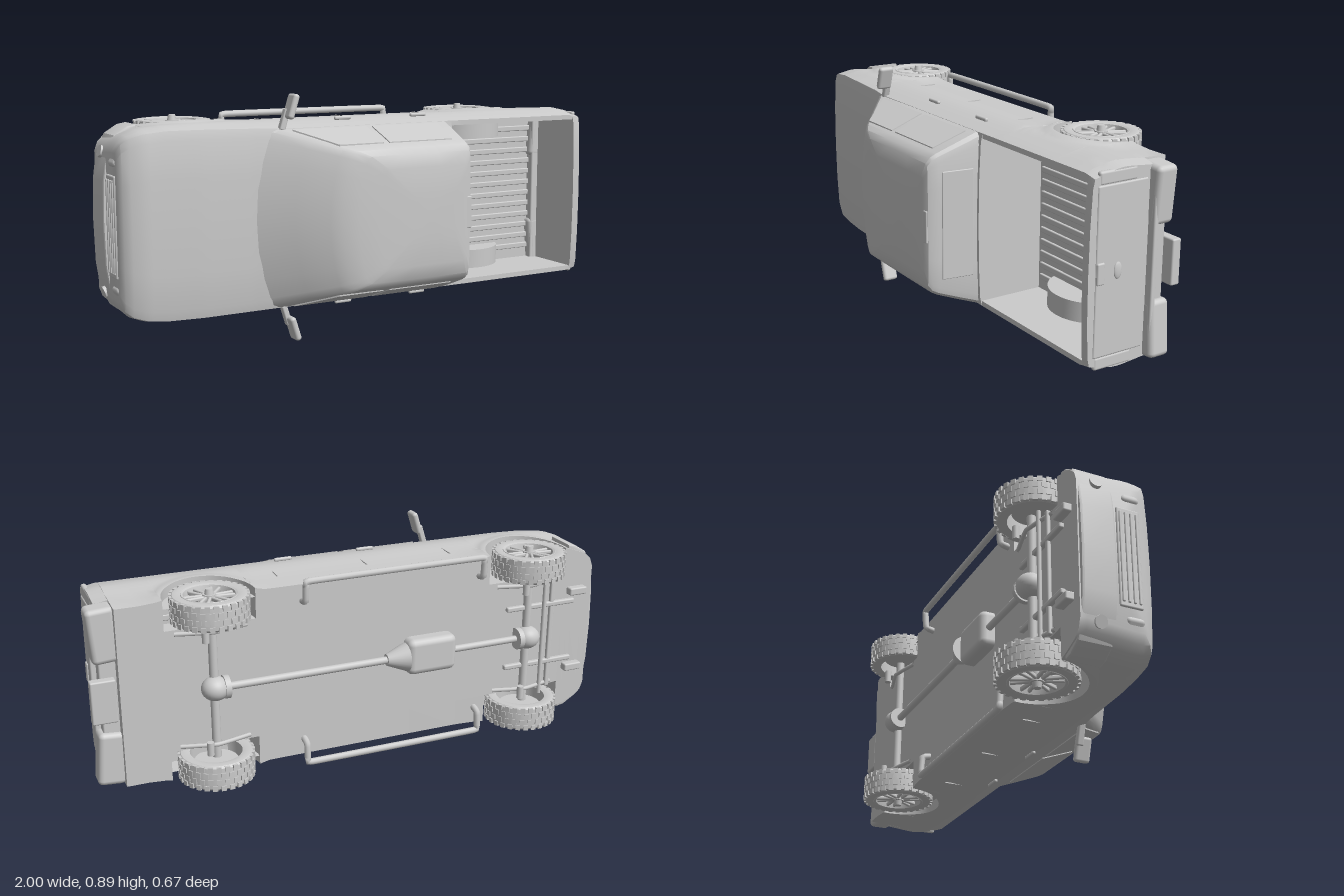
import * as THREE from 'three';
import { toCreasedNormals } from 'three/addons/utils/BufferGeometryUtils.js';
import { RoundedBoxGeometry } from 'three/addons/geometries/RoundedBoxGeometry.js';

const mat = new THREE.MeshStandardMaterial({ color: 0xcccccc, side: THREE.DoubleSide });
const WHEEL_X = [-0.69, 0.57], WHEEL_Y = -0.2, ARCH = 0.165, BED_FLOOR = -0.13;

function add(parent, name, geo, x = 0, y = 0, z = 0) {
  const m = new THREE.Mesh(geo, mat);
  m.name = name;
  m.position.set(x, y, z);
  parent.add(m);
  return m;
}
const box = (w, h, d, r = 0.006) => new RoundedBoxGeometry(w, h, d, 2, Math.min(r, w / 2.1, h / 2.1, d / 2.1));
const cylZ = (r, len, n = 20, r2 = r) => new THREE.CylinderGeometry(r, r2, len, n).rotateX(Math.PI / 2);
const cylX = (r, len, n = 16, r2 = r) => new THREE.CylinderGeometry(r, r2, len, n).rotateZ(-Math.PI / 2);
const tube = (pts, r, n = 40) =>
  new THREE.TubeGeometry(new THREE.CatmullRomCurve3(pts.map(p => new THREE.Vector3(...p)), false, 'catmullrom', 0.15), n, r, 10);

// piecewise-linear lookup in [[key, value], ...]
function lerpTable(t, k) {
  if (k <= t[0][0]) return t[0][1];
  for (let i = 1; i < t.length; i++)
    if (k <= t[i][0]) return THREE.MathUtils.mapLinear(k, t[i - 1][0], t[i][0], t[i - 1][1], t[i][1]);
  return t[t.length - 1][1];
}

// skin closed rings of [x, y, z] and cap both ends
function loft(rings, crease = 0.6) {
  const n = rings[0].length, pos = rings.flat(2), idx = [];
  for (let i = 0; i < rings.length - 1; i++)
    for (let j = 0; j < n; j++) {
      const a = i * n + j, b = i * n + (j + 1) % n;
      idx.push(a, a + n, b, a + n, b + n, b);
    }
  [0, rings.length - 1].forEach((i, end) => {
    const c = pos.length / 3;
    for (let k = 0; k < 3; k++) pos.push(rings[i].reduce((s, p) => s + p[k], 0) / n);
    for (let j = 0; j < n; j++) {
      const a = i * n + j, b = i * n + (j + 1) % n;
      idx.push(c, end ? b : a, end ? a : b);
    }
  });
  const g = new THREE.BufferGeometry();
  g.setAttribute('position', new THREE.Float32BufferAttribute(pos, 3));
  g.setIndex(idx);
  return toCreasedNormals(g, crease);
}

// lower body: half width by height, narrowing and top line along the length
const SIDE = [[-0.2, 0.334], [-0.1, 0.339], [0, 0.349], [0.03, 0.347], [0.1, 0.331], [0.13, 0.322]];
const PLAN = [[-0.982, 0.74], [-0.97, 0.84], [-0.945, 0.91], [-0.9, 0.96], [-0.82, 0.99], [-0.7, 1], [0.9, 1], [0.95, 0.97]];
const TOP = [[-0.982, 0.025], [-0.97, 0.05], [-0.945, 0.066], [-0.9, 0.08], [-0.7, 0.1], [-0.5, 0.112], [-0.4, 0.125], [0.95, 0.125]];

function bodySection(x, bed) {
  const f = lerpTable(PLAN, x), t = lerpTable(TOP, x), base = x > 0.9 ? -0.11 : -0.2;
  let b = base;
  for (const cx of WHEEL_X)
    if (Math.abs(x - cx) < ARCH) b = WHEEL_Y + Math.sqrt(ARCH ** 2 - (x - cx) ** 2);
  const half = [[0, base], [0.23 * f, base], [0.23 * f, b]];
  for (let k = 0; k <= 10; k++) {
    const h = b + (t - b) * k / 10;
    const d = Math.min(...WHEEL_X.map(cx => Math.hypot(x - cx, h - WHEEL_Y)));
    half.push([lerpTable(SIDE, h) * f + 0.009 * THREE.MathUtils.smoothstep(0.205 - d, 0, 0.03), h]);
  }
  const w = half[half.length - 1][0];
  half.push(...(bed ? [[0.305, t], [0.305, BED_FLOOR], [0, BED_FLOOR]]
    : [[w * 0.9, t + 0.007], [w * 0.5, t + 0.013], [0, t + 0.015]]));
  const ring = half.map(([z, y]) => [x, y, z]);
  for (let i = half.length - 2; i > 0; i--) ring.push([x, half[i][1], -half[i][0]]);
  return ring;
}

function bodyGeometry() {
  const xs = [-0.982, -0.97, -0.945, -0.9, -0.88, -0.4, -0.2, 0, 0.2, 0.32, 0.37, 0.76, 0.82, 0.9, 0.901, 0.92, 0.95];
  for (const cx of WHEEL_X)
    for (let i = 0; i <= 24; i++) xs.push(cx - ARCH * 1.0001 * Math.cos(Math.PI * i / 24));
  xs.push(-0.5);
  const rings = [];
  for (const x of xs.sort((a, b) => a - b)) {
    const bed = x > 0.32 && x < 0.92;
    if (x === 0.92) rings.push(bodySection(x, true));
    rings.push(bodySection(x, bed));
    if (x === 0.32) rings.push(bodySection(x, true));
  }
  return loft(rings);
}

// cab: [height, front x, rear x, half width]
const CAB = [[0.1, -0.545, 0.313, 0.326], [0.13, -0.5, 0.31, 0.322], [0.21, -0.395, 0.3, 0.292], [0.285, -0.295, 0.288, 0.263],
  [0.307, -0.255, 0.283, 0.251], [0.322, -0.2, 0.275, 0.23], [0.331, -0.12, 0.255, 0.18], [0.335, 0, 0.2, 0.08]];
function cabGeometry() {
  const q = [[1, 0], [1, 0.5], [0.995, 0.88], [0.98, 0.96], [0.94, 1], [0.4, 1], [-0.2, 1], [-0.78, 0.995],
    [-0.83, 0.965], [-0.87, 0.88], [-0.93, 0.65], [-0.98, 0.35], [-1, 0]];
  const outline = [...q, ...q.slice(1, -1).reverse().map(([u, v]) => [u, -v])];
  return loft(CAB.map(([h, a, b, w]) => outline.map(([u, v]) => [(a + b) / 2 + u * (b - a) / 2, h, v * w])), 0.5);
}
const cabWidth = h => lerpTable(CAB.map(r => [r[0], r[3]]), h);

// window pane that follows the slope of the cab side
function paneGeometry(pts) {
  const g = new THREE.ExtrudeGeometry(new THREE.Shape(pts.map(p => new THREE.Vector2(...p))), { depth: 0.006, bevelEnabled: false });
  const p = g.attributes.position;
  for (let i = 0; i < p.count; i++) p.setZ(i, p.getZ(i) - 0.002 + cabWidth(p.getY(i)));
  g.computeVertexNormals();
  return g;
}

// bumper: bowed plan shape extruded upwards
function bumperGeometry(pts, height) {
  const s = new THREE.Shape([...pts, ...pts.slice().reverse().map(([x, z]) => [x, -z])].map(p => new THREE.Vector2(...p)));
  const g = new THREE.ExtrudeGeometry(s, { depth: height - 0.016, bevelThickness: 0.008, bevelSize: 0.006, bevelSegments: 3 });
  return toCreasedNormals(g.rotateX(-Math.PI / 2).translate(0, 0.008, 0), 0.5);
}

function makeWheel() {
  const g = new THREE.Group();
  const lathe = pts => toCreasedNormals(new THREE.LatheGeometry(pts.map(p => new THREE.Vector2(...p)), 48), 0.6).rotateX(Math.PI / 2);
  add(g, 'tyre', lathe([[0.095, -0.046], [0.112, -0.05], [0.128, -0.048], [0.135, -0.04], [0.137, 0], [0.135, 0.04],
    [0.128, 0.048], [0.112, 0.05], [0.095, 0.046], [0.095, -0.046]]));
  add(g, 'rim', lathe([[0, -0.01], [0.08, -0.01], [0.086, 0.03], [0.09, 0.046], [0.098, 0.049], [0.101, 0.044]]));
  add(g, 'hub', cylZ(0.024, 0.04), 0, 0, 0.025);
  add(g, 'hubCap', cylZ(0.013, 0.02, 16, 0.017), 0, 0, 0.054);
  for (let i = 0; i < 6; i++) {
    const spoke = new THREE.Group();
    spoke.name = 'spoke';
    spoke.rotation.z = i * Math.PI / 3;
    for (const s of [-1, 1]) add(spoke, 'spokeArm', box(0.075, 0.012, 0.016), 0.052, s * 0.011, 0.034).rotation.z = s * 0.1;
    g.add(spoke);
  }
  // tread blocks
  for (let i = 0; i < 28; i++)
    for (const [k, z] of [-0.037, -0.013, 0.013, 0.037].entries()) {
      const a = (i + (k % 2) / 2) * Math.PI / 14;
      const b = add(g, 'treadBlock', new THREE.BoxGeometry(0.01, 0.018, 0.019), Math.cos(a) * 0.1345, Math.sin(a) * 0.1345, z);
      b.rotation.z = a;
    }
  return g;
}

export function createModel() {
  const model = new THREE.Group(), truck = new THREE.Group();
  model.name = 'pickupTruck';
  truck.name = 'truck';
  add(truck, 'lowerBody', bodyGeometry());
  add(truck, 'cab', cabGeometry());
  add(truck, 'roofLamp', box(0.03, 0.008, 0.12), 0.262, 0.327, 0);
  add(truck, 'rearWindow', box(0.006, 0.12, 0.4), 0.301, 0.215, 0).rotation.z = 0.14;

  // nose
  const bow = [[-0.992, 0], [-0.988, 0.15], [-0.975, 0.24], [-0.945, 0.305], [-0.9, 0.333], [-0.875, 0.338], [-0.875, 0.3], [-0.93, 0.2]];
  add(truck, 'frontBumper', bumperGeometry(bow, 0.125), 0, -0.195, 0);
  add(truck, 'grilleFrame', box(0.02, 0.085, 0.36), -0.978, -0.018, 0);
  for (let i = 0; i < 4; i++) add(truck, 'grilleBar', box(0.012, 0.01, 0.33, 0.004), -0.987, -0.048 + i * 0.02, 0);

  // bed floor ribs and tailgate
  for (let i = 0; i < 12; i++) add(truck, 'bedRib', box(0.57, 0.012, 0.022, 0.004), 0.62, BED_FLOOR + 0.004, -0.253 + i * 0.046);
  add(truck, 'tailgate', box(0.012, 0.2, 0.58), 0.948, 0.012, 0);
  add(truck, 'tailgateHandle', box(0.012, 0.03, 0.075), 0.954, 0.095, 0);
  add(truck, 'tailgateLatch', new THREE.SphereGeometry(0.02, 16, 10).scale(0.3, 0.8, 1.5), 0.954, 0.025, 0);

  // rear bumper with a recessed centre and hitch
  add(truck, 'rearBumperCentre', box(0.07, 0.06, 0.28), 0.925, -0.13, 0);
  add(truck, 'rearBumperTop', box(0.09, 0.02, 0.64), 0.935, -0.107, 0);
  add(truck, 'hitch', box(0.09, 0.035, 0.16), 0.955, -0.18, 0);

  for (const s of [-1, 1]) {
    const side = new THREE.Group();
    side.name = s > 0 ? 'rightSide' : 'leftSide';
    truck.add(side);
    add(side, 'headlight', box(0.04, 0.07, 0.1, 0.015), -0.952, -0.005, s * 0.25).rotation.y = s * 0.5;
    add(side, 'fogLight', cylX(0.022, 0.02), -0.978, -0.13, s * 0.25).rotation.y = s * 0.3;
    add(side, 'towHook', box(0.075, 0.035, 0.03), -0.91, -0.212, s * 0.16);
    add(side, 'rearBumperEnd', box(0.1, 0.082, 0.2, 0.018), 0.937, -0.137, s * 0.232).rotation.y = s * 0.08;
    add(side, 'tailLight', box(0.02, 0.15, 0.045, 0.008), 0.942, 0.03, s * 0.312);

    for (const pts of [[[-0.37, 0.145], [-0.07, 0.145], [-0.07, 0.272], [-0.25, 0.272]],
      [[-0.045, 0.145], [0.24, 0.145], [0.225, 0.272], [-0.045, 0.272]]]) {
      const pane = add(side, 'sideWindow', paneGeometry(pts));
      pane.scale.z = s;
    }
    for (const x of [-0.12, 0.21]) add(side, 'doorHandle', box(0.07, 0.014, 0.014), x, 0.057, s * 0.347);
    for (const x of [-0.4, -0.058, 0.29]) add(side, 'doorSeam', new THREE.BoxGeometry(0.004, 0.1, 0.004), x, -0.06, s * 0.343);

    // mirror
    add(side, 'mirrorArm', box(0.022, 0.026, 0.08), -0.39, 0.118, s * 0.355).rotation.y = s * 0.3;
    add(side, 'mirrorHead', box(0.024, 0.06, 0.092, 0.011), -0.37, 0.135, s * 0.402).rotation.y = s * 0.3;

    // side step
    const z = s * 0.355;
    add(side, 'sideStep', tube([[-0.48, -0.19, s * 0.27], [-0.48, -0.23, s * 0.28], [-0.48, -0.235, s * 0.34], [-0.46, -0.235, z],
      [0.21, -0.235, z], [0.23, -0.235, s * 0.34], [0.23, -0.23, s * 0.28], [0.23, -0.19, s * 0.27]], 0.0125, 90));

    // bed wheel box, frame rail and suspension
    add(side, 'bedWheelBox', toCreasedNormals(cylZ(0.17, 0.08, 48), 0.6), 0.57, WHEEL_Y + 0.001, s * 0.27).scale.y = 0.999;
    side.children[side.children.length - 1].geometry = toCreasedNormals(
      new THREE.CylinderGeometry(0.172, 0.172, 0.08, 32, 1, false, Math.PI / 2, Math.PI).rotateX(Math.PI / 2), 0.6);
    add(side, 'frontRail', box(0.3, 0.02, 0.02), -0.75, -0.21, s * 0.12);
    for (const x of WHEEL_X) {
      add(side, 'leafSpring', tube([[x - 0.13, -0.2, s * 0.215], [x, -0.232, s * 0.215], [x + 0.13, -0.2, s * 0.215]], 0.008, 16));
      add(side, 'shockAbsorber', cylZ(0.013, 0.05, 14), x + 0.035, -0.255, s * 0.215);
      const wheel = makeWheel();
      wheel.name = x < 0 ? 'frontWheel' : 'rearWheel';
      wheel.position.set(x, WHEEL_Y, s * 0.3);
      if (s < 0) wheel.rotation.y = Math.PI;
      truck.add(wheel);
    }
  }

  // axles and drive line
  for (const x of WHEEL_X) {
    add(truck, 'axle', cylZ(0.016, 0.54), x, -0.213, 0);
    add(truck, 'differential', new THREE.SphereGeometry(0.05, 24, 16).scale(1, 0.95, 0.9), x, -0.222, 0);
    add(truck, 'differentialBand', cylX(0.042, 0.02, 24), x + (x < 0 ? 0.04 : -0.04), -0.222, 0);
  }
  add(truck, 'rearDriveShaft', cylX(0.014, 0.63), 0.22, -0.222, 0);
  add(truck, 'transferCone', cylX(0.022, 0.08, 24, 0.055), -0.13, -0.222, 0);
  add(truck, 'gearbox', box(0.2, 0.08, 0.14, 0.025), -0.27, -0.215, 0);
  add(truck, 'frontDriveShaft', cylX(0.013, 0.3), -0.5, -0.222, 0);
  add(truck, 'crossMember', box(0.02, 0.016, 0.46), -0.8, -0.21, 0);
  add(truck, 'steeringRod', cylZ(0.008, 0.5, 12), -0.76, -0.222, 0);

  // the truck's roof faces +z and its nose faces -x
  truck.rotation.x = Math.PI / 2;
  truck.position.y = 0.447;
  model.add(truck);
  return model;
}
